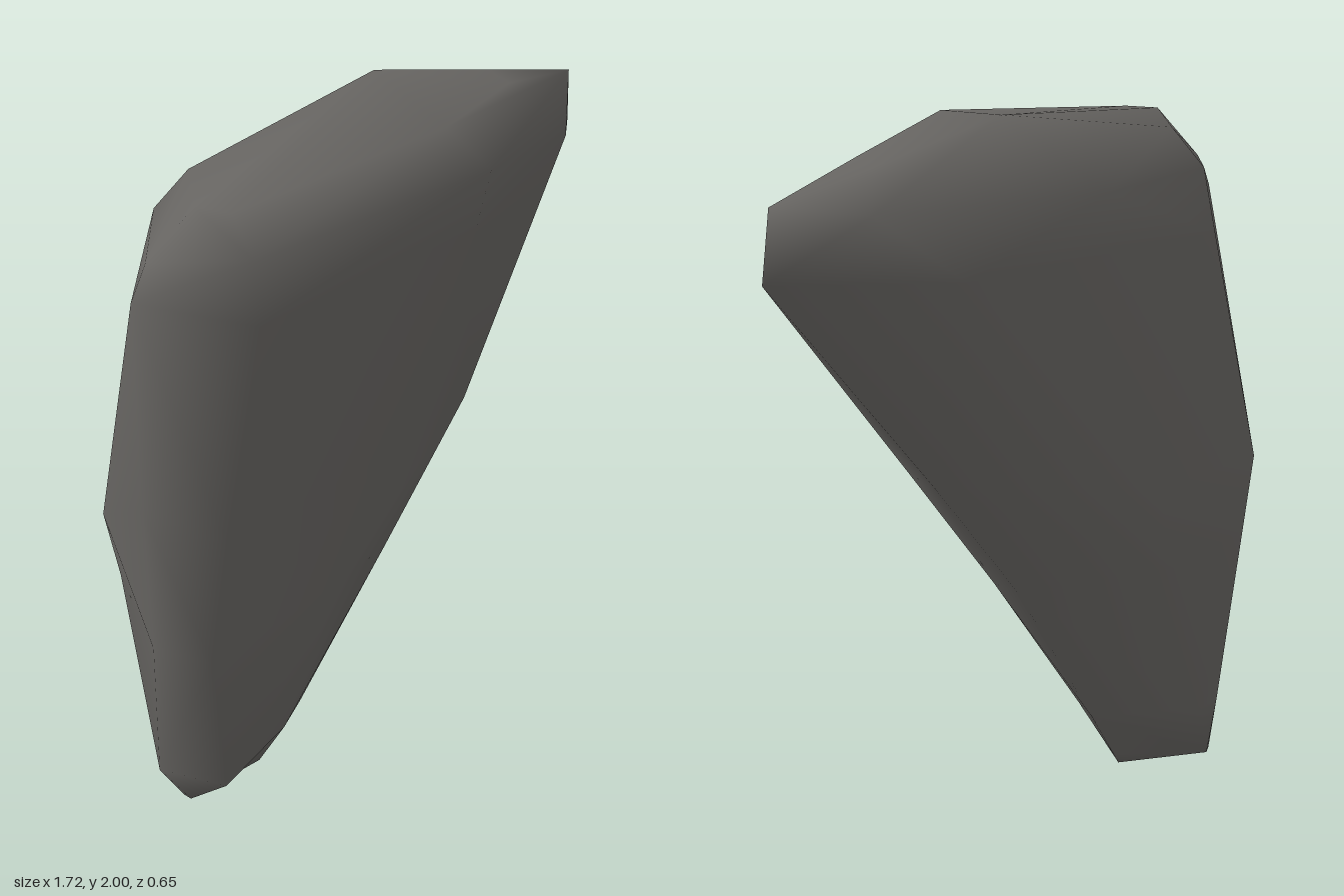
import * as THREE from 'three';

// Cross-sections from bottom to top; each runs: left front, mid front,
// right front, right edge, back right, back left, left edge.
const rings = [
  // rounded foot
  [[-.66, 0, -.08], [-.55, 0, -.08], [-.41, .01, -.07], [-.38, .05, -.09], [-.55, .08, -.3], [-.6, .07, -.26], [-.67, .01, -.1]],
  [[-.71, .21, .15], [-.43, .22, .07], [-.31, .21, 0], [-.28, .2, -.09], [-.52, .23, -.305], [-.63, .22, -.26], [-.8, .21, -.03]],
  // tapering body
  [[-.77, .67, .19], [-.27, .67, .135], [-.02, .64, .05], [.02, .66, -.1], [-.36, .7, -.315], [-.73, .72, -.25], [-.84, .67, .03]],
  [[-.74, 1.05, .235], [-.14, 1.05, .19], [.27, 1.02, .07], [.33, 1.03, -.12], [-.31, .95, -.33], [-.78, .94, -.24], [-.85, 1.1, .03]],
  // broad shoulder
  [[-.69, 1.68, .325], [.08, 1.68, .285], [.8, 1.63, -.06], [.86, 1.65, -.11], [.36, 1.62, -.293], [-.62, 1.62, -.21], [-.86, 1.7, .05]],
  [[-.68, 1.84, .3], [.11, 1.84, .305], [.8, 1.83, -.06], [.61, 1.81, -.23], [-.15, 1.79, -.27], [-.61, 1.8, -.17], [-.81, 1.79, .05]],
  // bevelled crown
  [[-.67, 1.93, .21], [0, 1.97, .25], [.45, 1.91, .04], [.5, 1.9, -.09], [.09, 2, -.11], [-.55, 1.91, -.1], [-.71, 1.93, .12]],
];

function loft(sections) {
  const n = sections[0].length;
  const points = sections.flat();
  const vector = i => new THREE.Vector3(...points[i]);
  const plane = new THREE.Plane();
  const index = [];
  for (let r = 0; r < sections.length - 1; r++) {
    for (let i = 0; i < n; i++) {
      const a = r * n + i, b = r * n + (i + 1) % n, c = b + n, d = a + n;
      // split each quad along the diagonal that bulges outwards
      plane.setFromCoplanarPoints(vector(a), vector(b), vector(c));
      if (plane.distanceToPoint(vector(d)) > 0) index.push(a, b, d, b, c, d);
      else index.push(a, b, c, a, c, d);
    }
  }
  // close both ends with a fan from the back right corner
  const pivot = 4, top = points.length - n;
  for (let k = 1; k < n - 1; k++) {
    const a = (pivot + k) % n, b = (pivot + k + 1) % n;
    index.push(pivot, b, a, top + pivot, top + a, top + b);
  }
  const geometry = new THREE.BufferGeometry();
  geometry.setAttribute('position', new THREE.Float32BufferAttribute(points.flat(), 3));
  geometry.setIndex(index);
  geometry.computeVertexNormals();
  return geometry;
}

export function createModel() {
  const group = new THREE.Group();
  group.name = 'rock';
  const stone = new THREE.MeshStandardMaterial({ color: 0x666461 });
  stone.name = 'dark grey stone';
  const body = new THREE.Mesh(loft(rings), stone);
  body.name = 'rockBody';
  group.add(body);
  return group;
}
